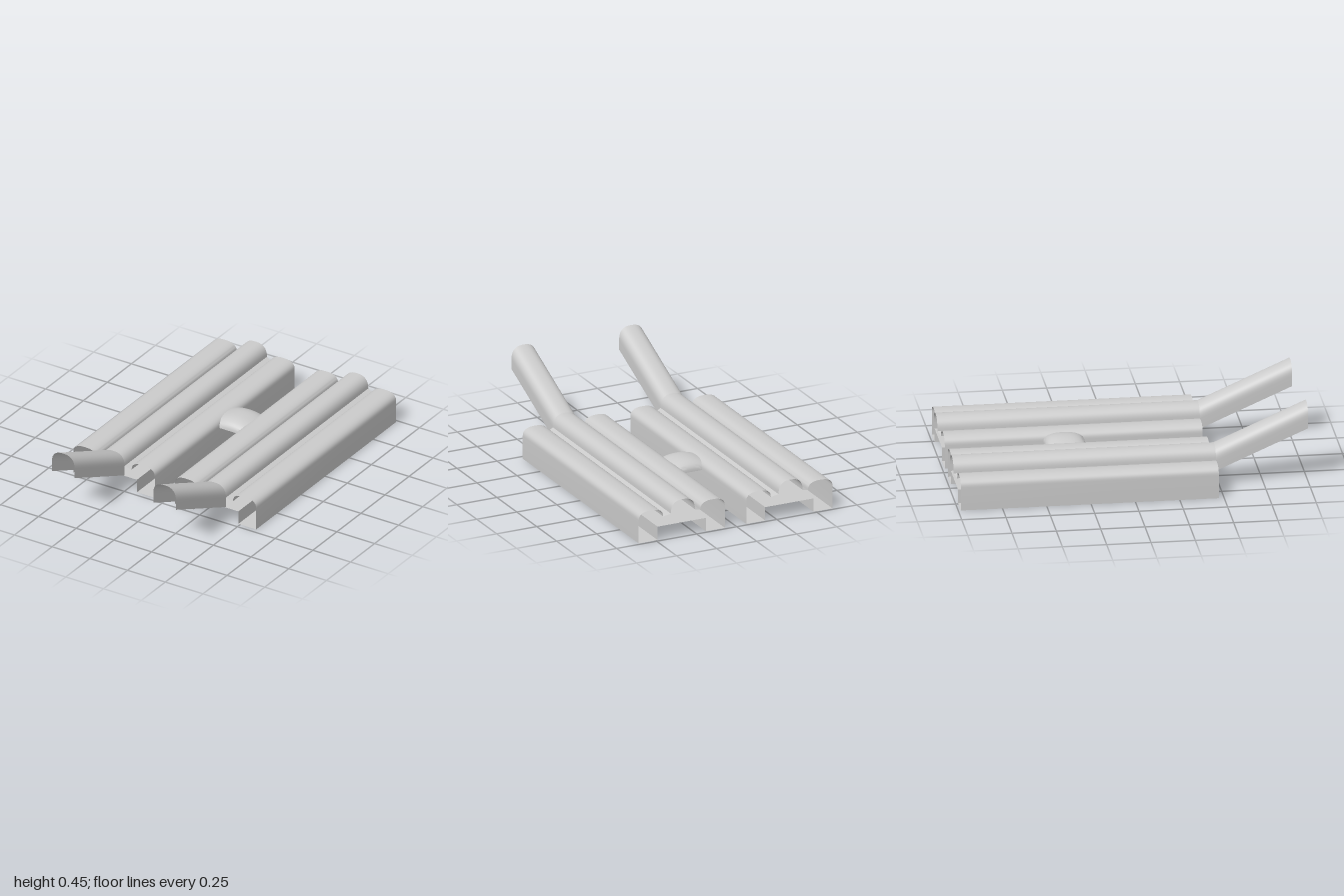
import * as THREE from 'three';
import { toCreasedNormals } from 'three/addons/utils/BufferGeometryUtils.js';

const material = new THREE.MeshStandardMaterial({ color: 0xcccccc, side: THREE.DoubleSide });

// Skin over cross-sections ordered back to front; points run from -x over the top to +x
function loft(name, sections) {
  const n = sections[0].length;
  const index = [];
  for (let s = 0; s < sections.length - 1; s++) {
    for (let i = 0; i < n - 1; i++) {
      const a = s * n + i, b = a + n;
      index.push(a, b, b + 1, a, b + 1, a + 1);
    }
  }
  const geometry = new THREE.BufferGeometry();
  geometry.setAttribute('position', new THREE.Float32BufferAttribute(sections.flat(2), 3));
  geometry.setIndex(index);
  const mesh = new THREE.Mesh(toCreasedNormals(geometry, 0.6), material);
  mesh.name = name;
  return mesh;
}

// Flattened half-round crown, left to right, as [x, y]
function arch(cx, halfWidth, base, height, steps = 20) {
  return Array.from({ length: steps + 1 }, (_, i) => {
    const a = Math.PI * (1 - i / steps), c = Math.cos(a), s = Math.max(0, Math.sin(a));
    return [cx + halfWidth * Math.sign(c) * Math.abs(c) ** 0.8, base + height * s ** 0.8];
  });
}

const at = (points, z, dy = 0) => points.map(([x, y]) => [x, y + dy, z]);

function makeHull(side) {
  const hull = new THREE.Group();
  hull.name = side > 0 ? 'leftHull' : 'rightHull';

  // Open-ended shell: float, raised centre rib, float, then back under the deck
  const sideArch = (cx) => arch(cx, 0.0765, 0.135, 0.05);
  const rib = arch(0, 0.075, 0.15, 0.075);
  const left = sideArch(-0.1925), right = sideArch(0.1925);
  const underside = [[0.269, 0], [0.151, 0], [0.151, 0.08], [-0.151, 0.08],
    [-0.151, 0], [-0.269, 0], left[0]];
  const section = (zFloat, zRib) => [
    ...at(left, zFloat), ...at(rib, zRib), ...at(right, zFloat), ...at(underside, zFloat)];
  hull.add(loft('hullShell', [section(-0.985, -1), section(0.47, 0.48)]));

  // Sloping channel, open below, rising at the front
  const channel = [[-0.075, 0.09], ...rib, [0.075, 0.09]];
  hull.add(loft('frontRamp', [at(channel, 0.48), at(channel, 1, 0.228)]));

  hull.position.x = side * 0.336;
  return hull;
}

// Arched saddle linking the two hulls, flaring where it meets them
function makeBridge() {
  const sections = arch(-0.316, 0.115, 0, 1).map(([z, rise]) =>
    Array.from({ length: 13 }, (_, i) => {
      const s = i / 6 - 1;
      const width = 0.067 + 0.023 * rise ** 2;
      return [s * width, 0.13 + rise * (0.045 + 0.015 * (1 - s * s)), z];
    }));
  return loft('bridge', sections);
}

export function createModel() {
  const model = new THREE.Group();
  model.name = 'twinHullFloat';
  model.add(makeHull(1), makeHull(-1), makeBridge());
  return model;
}
